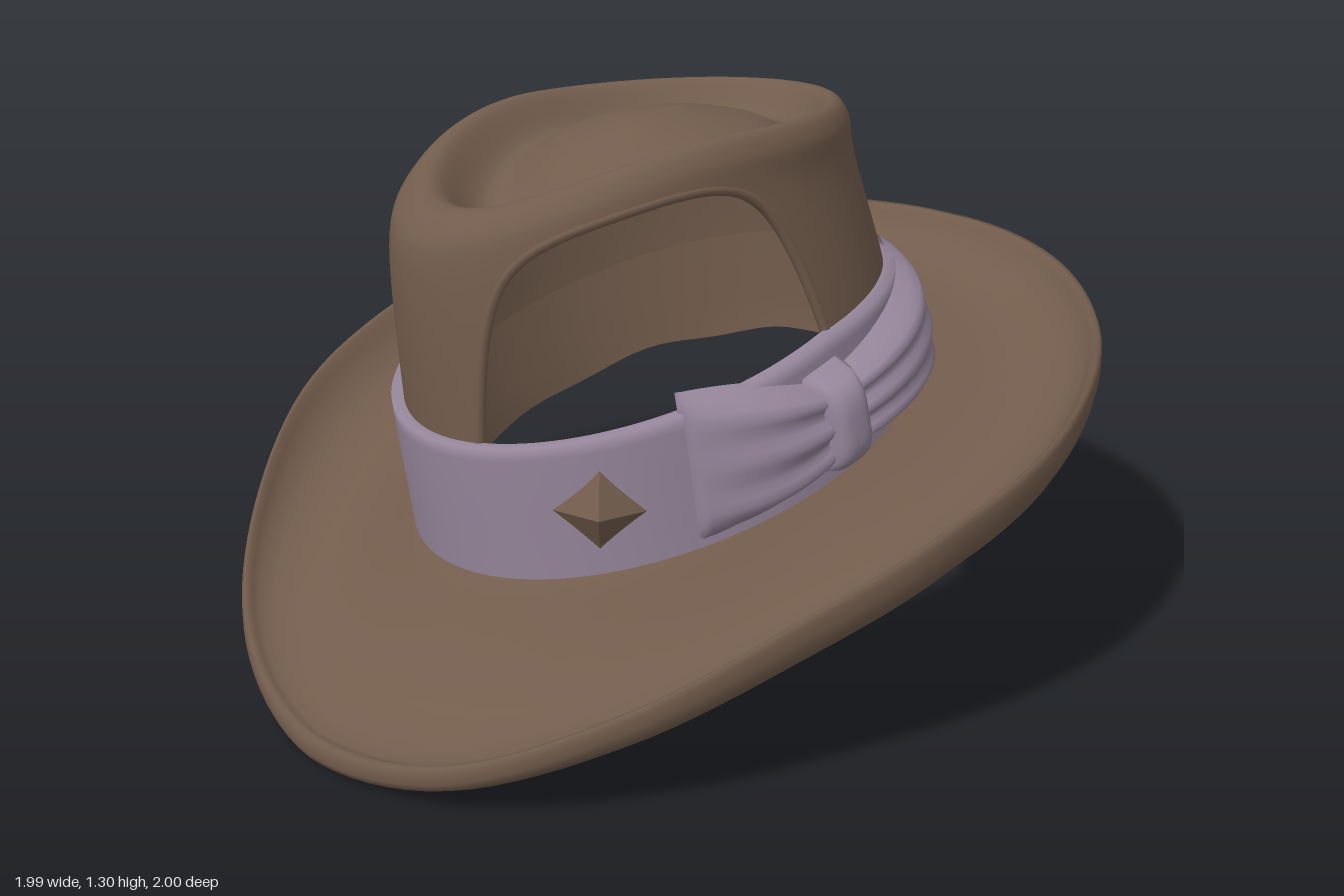
import * as THREE from 'three';

const V = (x, y, z) => new THREE.Vector3(x, y, z);
const lerp = THREE.MathUtils.lerp;

// The hat faces F (front axis) and is tilted down towards it; G is its side axis
const F = V(-0.45, 0, 0.89), G = V(0.89, 0, 0.45);
const plane = (x, z) => 0.43 + 0.13 * x - 0.37 * z;
const baseLift = phi => 0.073 + 0.075 * Math.cos(phi) + 0.03 * Math.sin(phi);

const oval = (cx, cz, a, b, phi) => V(cx, 0, cz)
  .addScaledVector(F, a * Math.cos(phi)).addScaledVector(G, b * Math.sin(phi));
const basePoint = phi => {
  const p = oval(0.03, 0.01, 0.61, 0.5, phi);
  p.y = plane(p.x, p.z) + baseLift(phi);
  return p;
};
const ridge = phi => 1.265 - 0.14 * Math.max(0, Math.cos(phi)) ** 2
  + 0.022 * Math.sin(phi);

// Crown section at angle phi: wall, rounded shoulder, teardrop groove, centre bump
function crownCurve(phi) {
  const r = ridge(phi);
  const ring = (s, y) => {
    const p = oval(-0.055 + (1 - s) * 0.08, 0.035 - (1 - s) * 0.11, 0.57 * s, 0.437 * s, phi);
    p.y = y;
    return p;
  };
  const base = basePoint(phi), top = ring(1.01, r - 0.14);
  const mid = base.clone().lerp(top, 0.5);
  mid.addScaledVector(outward(phi), 0.008);
  return new THREE.CatmullRomCurve3([
    base, mid, top, ring(0.96, r - 0.035), ring(0.85, r),
    ring(0.67, r - 0.075), ring(0.45, lerp(r, 1.25, 0.6) - 0.03),
    ring(0.22, 1.25), ring(0, 1.265),
  ], false, 'catmullrom', 0.5);
}
function outward(phi) {
  return F.clone().multiplyScalar(0.5 * Math.cos(phi))
    .addScaledVector(G, 0.61 * Math.sin(phi)).normalize();
}
// Point on the crown wall at height h above the base, pushed out from the surface
function wallPoint(phi, h, out) {
  const t = 0.25 * h / (ridge(phi) - 0.14 - basePoint(phi).y);
  const p = crownCurve(phi).getPoint(Math.max(0, t)).addScaledVector(outward(phi), out);
  p.y += Math.min(0, h);
  return p;
}

// Surface from a grid of points; fn(i, j) gives the point in column i, row j
function grid(nu, nv, fn, wrapU = false, wrapV = false) {
  const pos = [], idx = [];
  for (let i = 0; i < nu; i++) for (let j = 0; j < nv; j++) pos.push(...fn(i, j).toArray());
  const id = (i, j) => (i % nu) * nv + (j % nv);
  for (let i = 0; i < (wrapU ? nu : nu - 1); i++) {
    for (let j = 0; j < (wrapV ? nv : nv - 1); j++) {
      const a = id(i, j), b = id(i + 1, j), c = id(i + 1, j + 1), d = id(i, j + 1);
      idx.push(a, b, c, a, c, d);
    }
  }
  const g = new THREE.BufferGeometry();
  g.setAttribute('position', new THREE.Float32BufferAttribute(pos, 3));
  g.setIndex(idx);
  g.computeVertexNormals();
  return g;
}

export function createModel() {
  const felt = new THREE.MeshStandardMaterial({ color: 0x725c4c, side: THREE.DoubleSide });
  felt.name = 'brown felt';
  const ribbon = new THREE.MeshStandardMaterial({ color: 0x95859a, side: THREE.DoubleSide });
  ribbon.name = 'mauve ribbon';
  const hat = new THREE.Group();
  hat.name = 'hat';
  const add = (name, geometry, material) => {
    const m = new THREE.Mesh(geometry, material);
    m.name = name;
    hat.add(m);
    return m;
  };

  // Crown, with an arched opening cut up from the base
  const arch0 = 0.27, arch1 = 1.87;
  const archAt = k => {
    const w = Math.sin((k - 0.5) * Math.PI);
    return {
      phi: lerp(arch0, arch1, (w + 1) / 2),
      t0: 0.285 * (1 + 0.04 * w) * Math.sqrt(Math.max(0, 1 - Math.abs(w) ** 3.4)),
    };
  };
  const columns = [];
  for (let i = 0; i <= 48; i++) columns.push(archAt(i / 48));
  for (let i = 1; i < 80; i++) columns.push({ phi: lerp(arch1, arch0 + 2 * Math.PI, i / 80), t0: 0 });
  const curves = columns.map(c => crownCurve(c.phi));
  add('crown', grid(columns.length, 57, (i, j) =>
    curves[i].getPoint(lerp(columns[i].t0, 1, j / 56)), true), felt);

  // Rounded edge of the opening
  const edge = [];
  for (let i = 0; i <= 40; i++) {
    const { phi, t0 } = archAt(i / 40);
    edge.push(crownCurve(phi).getPoint(t0).addScaledVector(outward(phi), -0.01));
  }
  add('openingEdge', new THREE.TubeGeometry(new THREE.CatmullRomCurve3(edge), 100, 0.013, 8), felt);

  // Felt strip lining the base of the crown, leaning in and hanging a little below the brim
  add('sweatband', grid(96, 7, (i, j) => {
    const phi = i / 96 * 2 * Math.PI;
    const hang = 0.05 + 0.012 * Math.sin(phi * 7) * Math.cos(phi * 3);
    const lean = 0.035 + 0.03 * Math.max(0, Math.cos(phi - 1));
    return wallPoint(phi, lerp(-hang, 0.2, j / 6), lerp(-lean, -0.01, j / 6));
  }, true), felt);

  // Brim outline: radius every 22.5 degrees, from +x towards +z
  const radii = [0.985, 0.93, 0.89, 0.93, 0.998, 1.01, 1.0, 0.985,
    0.995, 0.94, 0.925, 0.955, 0.995, 1.045, 1.05, 1.035];
  const outline = new THREE.CatmullRomCurve3(radii.map((r, i) =>
    V(r * Math.cos(i * Math.PI / 8), 0, r * Math.sin(i * Math.PI / 8))), true, 'catmullrom', 0.5);
  // Brim section: distance from crown to rim, and height above the middle surface
  const section = [[0, 0.01], [0.12, 0.015], [0.25, 0.02], [0.4, 0.02], [0.55, 0.02], [0.7, 0.02],
    [0.82, 0.02], [0.9, 0.025], [0.94, 0.04], [0.965, 0.05], [0.985, 0.045], [1, 0.02], [1, -0.015],
    [0.985, -0.04], [0.95, -0.05], [0.85, -0.045], [0.7, -0.04], [0.5, -0.03], [0.25, -0.025],
    [0.1, -0.03], [0, -0.04]];
  const lobe = (theta, dir) => Math.max(0, Math.cos(theta - dir));
  const N = 128;
  add('brim', grid(N, section.length, (i, j) => {
    const rim = outline.getPoint(i / N), [s, dy] = section[j];
    const phi = Math.atan2(rim.dot(G) / 0.5, rim.dot(F) / 0.61);
    const theta = Math.atan2(rim.z, rim.x);
    const p = basePoint(phi).lerp(rim, s);
    // the edge turns up at the sides and back, the back droops, the front is thinner
    const curl = 0.155 * lobe(theta, -2.75) ** 1.5 + 0.105 * lobe(theta, 0.4) ** 1.3
      + 0.08 * lobe(theta, -1.2) ** 2;
    const front = lobe(theta, 1.9) ** 2;
    const droop = 0.125 * lobe(theta, -1.2) + 0.02 * front;
    p.y = plane(p.x, p.z) + baseLift(phi) * (1 - s) ** 2 - 0.03 * Math.sin(Math.PI * s)
      + curl * s ** 4.5 - droop * s ** 1.5 + dy * (1 - 0.4 * front);
    return p;
  }, true, true), felt);

  // Ribbon round the front, tapering a little at its back end
  add('hatBand', grid(97, 12, (i, j) => {
    const u = i / 96, phi = lerp(-1.3, 2.8, u);
    const height = 0.3 - 0.06 * Math.max(0, (u - 0.75) / 0.25);
    const v = Math.min(1, j / 10);
    const tucked = j === 11 || i === 0 || i === 96;
    return wallPoint(phi, height * v, tucked ? -0.005 : 0.018 + 0.01 * v);
  }), ribbon);

  // Bow: a short front wing and a long back wing narrowing to a knot
  const wing = (name, outer, inner, mid0, half0, puff) => add(name, grid(25, 17, (i, j) => {
    const u = i / 24, v = j / 8 - 1;
    const half = lerp(half0, 0.08, u ** 1.6), mid = lerp(mid0, 0.15, u);
    const pleat = 0.012 * u * Math.cos(v * 9);
    const out = 0.015 + (0.03 + puff * Math.sin(u * Math.PI * 0.75)) * (1 - v ** 6) + pleat;
    return wallPoint(lerp(outer, inner, u), mid + half * v, i === 0 ? 0.01 : out);
  }), ribbon);
  wing('bowFrontWing', 1.13, 1.68, 0.18, 0.165, 0.05);
  wing('bowBackWing', 2.83, 1.72, 0.145, 0.115, 0.055);
  add('bowKnot', grid(13, 13, (i, j) => {
    const u = i / 6 - 1, v = j / 6 - 1;
    const out = 0.01 + 0.11 * Math.sqrt(Math.max(0, (1 - u ** 4) * (1 - v ** 4)));
    return wallPoint(1.7 + 0.1 * u, 0.15 + 0.11 * v, out);
  }), ribbon);

  // Four-sided stud on the ribbon
  const studShape = new THREE.ConeGeometry(0.1, 0.06, 4).toNonIndexed();
  studShape.computeVertexNormals();
  const stud = add('stud', studShape, felt);
  stud.position.copy(wallPoint(0.8, 0.14, 0.045));
  const n = outward(0.8), side = V(0, 1, 0).cross(n).normalize();
  stud.quaternion.setFromRotationMatrix(
    new THREE.Matrix4().makeBasis(side, n, side.clone().cross(n)));

  // Stand on the ground
  const low = new THREE.Box3().setFromObject(hat, true).min.y;
  hat.children.forEach(m => { m.position.y -= low; });
  return hat;
}
